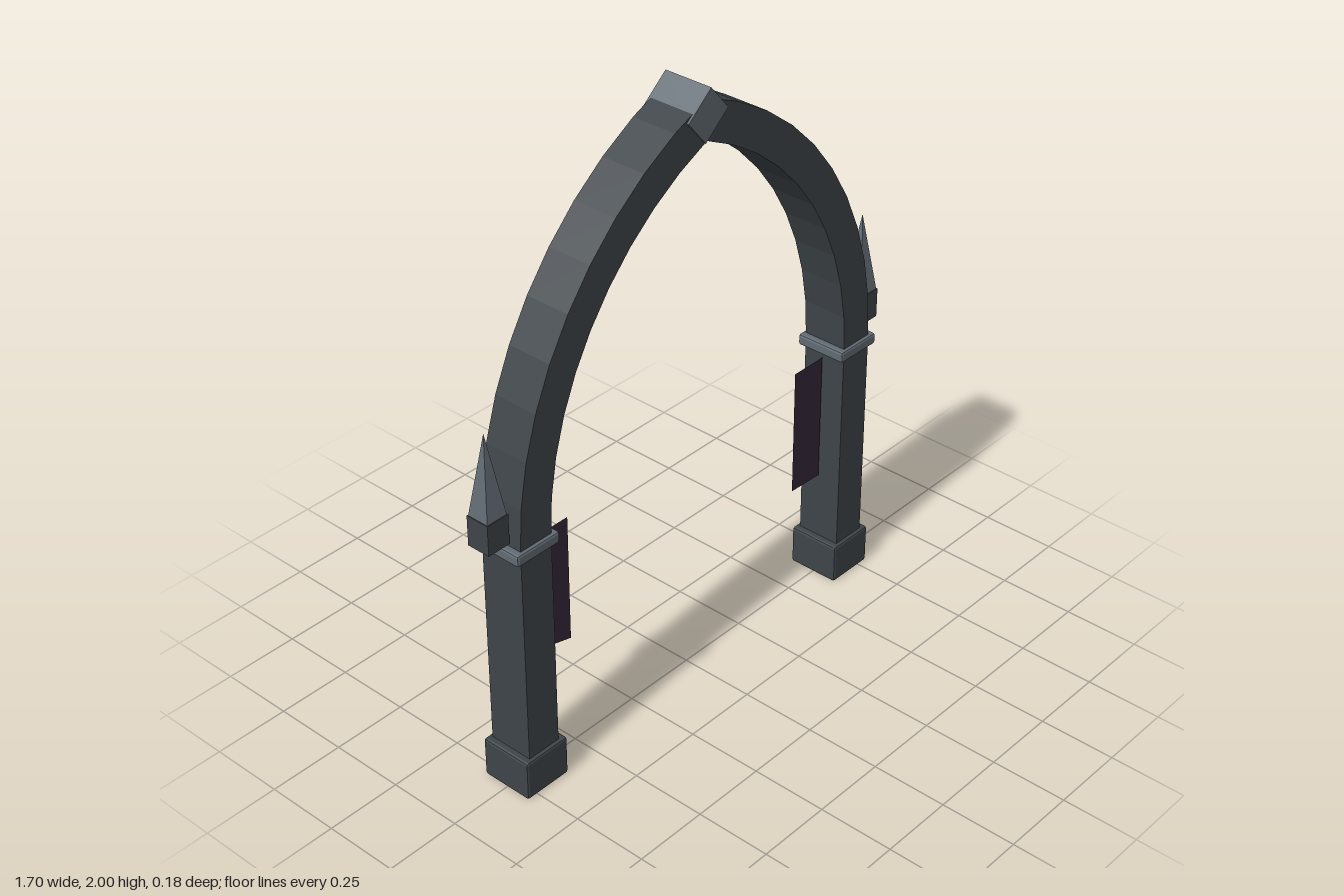
import * as THREE from 'three';
import { RoundedBoxGeometry } from 'three/addons/geometries/RoundedBoxGeometry.js';

const DEPTH = 0.152;

export function createModel() {
  const group = new THREE.Group();
  const mat = (name, color) => {
    const m = new THREE.MeshStandardMaterial({ color });
    m.name = name;
    return m;
  };
  const stone = mat('darkStone', 0x3f454a);
  const trim = mat('paleStone', 0x626b74);
  const cloth = mat('purpleCloth', 0x35293b);
  cloth.side = THREE.DoubleSide;
  stone.flatShading = trim.flatShading = true;

  const add = (name, geometry, material, x, y, z = 0) => {
    const mesh = new THREE.Mesh(geometry, material);
    mesh.name = name;
    mesh.position.set(x, y, z);
    group.add(mesh);
    return mesh;
  };

  // One half of the pointed arch: a faceted ring segment, mitred at x = 0
  const archHalf = (side) => {
    const centre = 0.408, spring = 0.87, steps = 10;
    const arc = (radius) => {
      const end = Math.acos(centre / radius);
      return Array.from({ length: steps + 1 }, (_, i) => {
        const a = (end * i) / steps;
        return new THREE.Vector2(side * (radius * Math.cos(a) - centre), spring + radius * Math.sin(a));
      });
    };
    const outline = [...arc(1.173), ...arc(1.053).reverse()];
    return new THREE.ExtrudeGeometry(new THREE.Shape(outline), { depth: DEPTH, bevelEnabled: false });
  };

  // Hanging cloth with a cut lower edge, given as heights at its left and right ends
  const banner = (x0, x1, low0, low1) => new THREE.ShapeGeometry(new THREE.Shape([
    new THREE.Vector2(x0, low0), new THREE.Vector2(x1, low1),
    new THREE.Vector2(x1, 0.82), new THREE.Vector2(x0, 0.82),
  ]));

  for (const side of [-1, 1]) {
    const label = side > 0 ? 'left' : 'right';
    const x = side * 0.705;
    // Pillar with plinth and capital
    add(label + 'Plinth', new RoundedBoxGeometry(0.168, 0.135, 0.178, 1, 0.008), stone, x, 0.0675);
    add(label + 'Pillar', new THREE.BoxGeometry(0.12, 0.74, DEPTH), stone, x, 0.49);
    add(label + 'Capital', new RoundedBoxGeometry(0.166, 0.038, 0.175, 1, 0.008), trim, x, 0.857);
    add(label + 'Arch', archHalf(side), stone, 0, 0, -DEPTH / 2);

    // Pinnacle: block and four-sided spire
    add(label + 'PinnacleBlock', new THREE.BoxGeometry(0.08, 0.1, 0.08), stone, side * 0.81, 0.94);
    const spire = new THREE.ConeGeometry(0.037 * Math.SQRT2, 0.265, 4);
    spire.rotateY(Math.PI / 4);
    add(label + 'Spire', spire, trim, side * 0.81, 1.1225);
  }

  // Banners on the inner sides of the pillars
  add('rightBanner', banner(-0.64, -0.505, 0.422, 0.387), cloth, 0, 0);
  add('leftBanner', banner(0.503, 0.635, 0.381, 0.376), cloth, 0, 0);

  // Tilted keystone at the apex
  const keystone = add('keystone', new THREE.BoxGeometry(0.12, 0.11, 0.166), trim, -0.002, 1.92);
  keystone.rotation.z = THREE.MathUtils.degToRad(40);

  return group;
}
